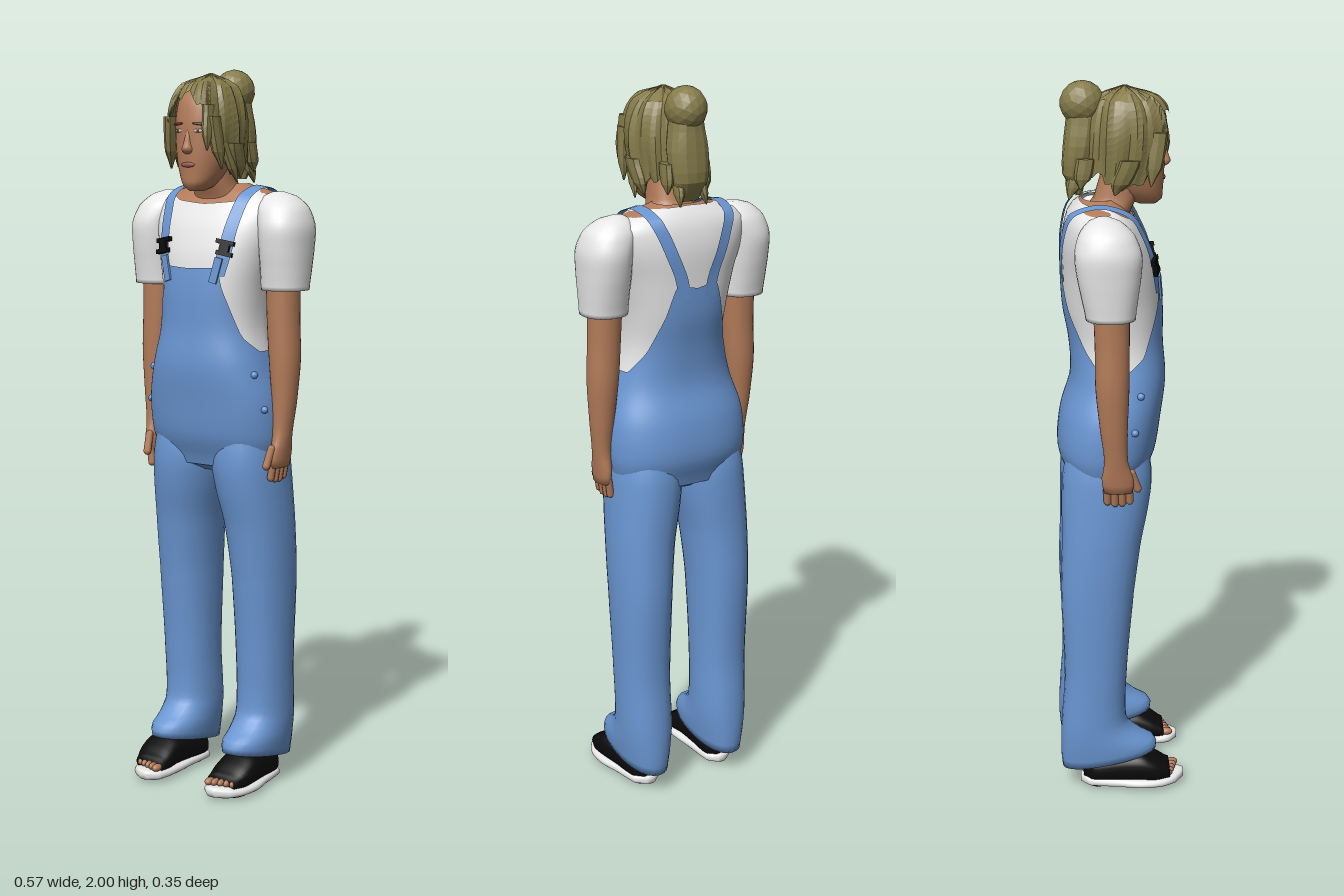
import * as THREE from 'three';
import { mergeVertices } from 'three/addons/utils/BufferGeometryUtils.js';

const mat = (name, color, extra = {}) => Object.assign(new THREE.MeshStandardMaterial({ color, ...extra }), { name });
const two = { side: THREE.DoubleSide };

// Cross-sections are [x, y, z, rx, rz] with rising y; at() blends them smoothly.
function at(S, y) {
  let i = 0;
  while (i < S.length - 2 && y > S[i + 1][1]) i++;
  const t = THREE.MathUtils.clamp((y - S[i][1]) / (S[i + 1][1] - S[i][1]), 0, 1);
  const p = [S[Math.max(i - 1, 0)], S[i], S[i + 1], S[Math.min(i + 2, S.length - 1)]];
  return [0, 2, 3, 4].map(k => {
    const [a, b, c, d] = p.map(q => q[k]);
    const v = b + 0.5 * t * (c - a + t * (2 * a - 5 * b + 4 * c - d + t * (3 * (b - c) + d - a)));
    return k > 2 ? Math.max(v, 0) : v;
  });
}
const pw = (v, n) => Math.sign(v) * Math.abs(v) ** (2 / n);
// Point on the skin of a sectioned body; angle a starts at the front and turns to +x.
function point(S, a, y, n = 2.4, off = 0) {
  const [x, z, rx, rz] = at(S, y);
  return [x + (rx + off) * pw(Math.sin(a), n), y, z + (rz + off) * pw(Math.cos(a), n)];
}
// Depth of the skin at a given x and y (side 1 = front, -1 = back).
function depth(S, x, y, side = 1, n = 2.4) {
  const [cx, z, rx, rz] = at(S, y);
  return z + side * rz * Math.max(0, 1 - Math.min(1, Math.abs((x - cx) / rx)) ** n) ** (1 / n);
}
// Grid surface from f(u, v)
function grid(f, nu, nv) {
  const pos = [], idx = [];
  for (let j = 0; j <= nv; j++) for (let i = 0; i <= nu; i++) pos.push(...f(i / nu, j / nv));
  for (let j = 0; j < nv; j++) for (let i = 0; i < nu; i++) {
    const a = j * (nu + 1) + i, b = a + nu + 1;
    idx.push(a, a + 1, b + 1, a, b + 1, b);
  }
  const raw = new THREE.BufferGeometry();
  raw.setAttribute('position', new THREE.Float32BufferAttribute(pos, 3));
  raw.setIndex(idx);
  const g = mergeVertices(raw, 1e-5);
  g.computeVertexNormals();
  return g;
}
// Piecewise line over the angle from the front in degrees, same on both sides
const edge = keys => a => {
  const d = THREE.MathUtils.radToDeg(a > Math.PI ? 2 * Math.PI - a : a);
  let i = 0;
  while (i < keys.length - 2 && d > keys[i + 1][0]) i++;
  const [p, q] = [keys[i], keys[i + 1]];
  return p[1] + (q[1] - p[1]) * Math.min(1, (d - p[0]) / (q[0] - p[0]));
};
const wrap = (S, lo, hi, { n = 2.4, off = 0, ripple = null, seg = 64, rows = 28 } = {}) => grid((u, v) => {
  const a = (u % 1) * Math.PI * 2, y = lo(a) + (hi(a) - lo(a)) * v;
  return point(S, a, y, n, off + (ripple ? ripple(a, y) : 0));
}, seg, rows);
// Closed loft
const loft = (S, { n = 2.4, seg = 28, rows = 24, tweak = null } = {}) => {
  const y0 = S[0][1], y1 = S[S.length - 1][1];
  return grid((u, v) => {
    const k = v * (rows + 2), y = y0 + (y1 - y0) * THREE.MathUtils.clamp((k - 1) / rows, 0, 1);
    const a = (u % 1) * Math.PI * 2;
    let p = point(S, a, y, n);
    if (k < 0.5 || k > rows + 1.5) { const c = at(S, y); p = [c[0], y, c[1]]; }
    return tweak ? tweak(p) : p;
  }, seg, rows + 2);
};

const BODY = [
  [0, 0.92, -0.035, 0.18, 0.10], [0, 1.0, -0.032, 0.198, 0.128], [0, 1.1, -0.02, 0.196, 0.132],
  [0, 1.2, 0, 0.168, 0.124], [0, 1.3, -0.005, 0.145, 0.122], [0, 1.4, -0.014, 0.15, 0.13],
  [0, 1.5, -0.022, 0.172, 0.127], [0, 1.58, -0.035, 0.195, 0.115], [0, 1.64, -0.045, 0.195, 0.093],
  [0, 1.67, -0.05, 0.15, 0.07], [0, 1.69, -0.05, 0.075, 0.05]];
const HEAD = [
  [0, 1.672, 0.08, 0.018, 0.025], [0, 1.685, 0.072, 0.038, 0.048], [0, 1.71, 0.058, 0.054, 0.064],
  [0, 1.75, 0.045, 0.068, 0.08], [0, 1.8, 0.037, 0.076, 0.089], [0, 1.87, 0.03, 0.079, 0.094],
  [0, 1.93, 0.025, 0.066, 0.08], [0, 1.97, 0.025, 0.01, 0.01]];
const HAIR = [
  [0, 1.69, 0.005, 0.078, 0.085], [0, 1.78, 0.022, 0.09, 0.108], [0, 1.86, 0.03, 0.096, 0.116],
  [0, 1.92, 0.03, 0.085, 0.106], [0, 1.96, 0.025, 0.06, 0.078], [0, 1.985, 0.02, 0, 0]];

export function createModel() {
  const M = {
    denim: mat('denim blue', 0x6a96d2, two), shirt: mat('shirt white', 0xf0f0f0, two),
    skin: mat('skin', 0xb27b59), hair: mat('hair olive blond', 0x857b4a, { ...two, flatShading: true }),
    black: mat('black', 0x0b0b0b), sole: mat('sole white', 0xe8e8e8),
    lips: mat('lips', 0x94584a), brow: mat('brow brown', 0x5f4530), eye: mat('eye', 0xcfc2b4)
  };
  const root = new THREE.Group();
  root.name = 'figure';
  const add = (name, geo, m, p = [0, 0, 0], r = [0, 0, 0], s = [1, 1, 1]) => {
    const mesh = new THREE.Mesh(geo, m);
    mesh.name = name;
    mesh.position.set(...p); mesh.rotation.set(...r); mesh.scale.set(...s);
    root.add(mesh);
    return mesh;
  };
  const ball = new THREE.SphereGeometry(1, 16, 12);
  const flip = (S, s) => S.map(([x, ...rest]) => [x * s, ...rest]);

  // Torso: skin at the neckline, shirt, then overalls with bib and back panel
  add('upperChest', wrap(BODY, () => 1.56, () => 1.69, { off: -0.005 }), M.skin);
  add('shirtBody', wrap(BODY, () => 1.1, edge([[0, 1.637], [25, 1.645], [60, 1.672], [90, 1.68], [180, 1.687]])), M.shirt);
  add('overallsBody', wrap(BODY, () => 0.92, edge([[0, 1.465], [26, 1.47], [32, 1.42], [45, 1.36], [62, 1.28],
    [85, 1.24], [110, 1.24], [130, 1.3], [150, 1.4], [164, 1.49], [180, 1.475]]), { off: 0.007, seg: 96 }), M.denim);
  add('crotch', loft([[0, 0.9, -0.035, 0.03, 0.07], [0, 0.925, -0.035, 0.187, 0.107], [0, 0.96, -0.035, 0.18, 0.1]]), M.denim);
  add('neck', loft([[0, 1.58, -0.04, 0.085, 0.06], [0, 1.65, -0.028, 0.072, 0.062], [0, 1.69, -0.005, 0.058, 0.058],
    [0, 1.78, 0.015, 0.054, 0.055]]), M.skin);

  // Head and face
  add('head', loft(HEAD, { n: 2.2, seg: 36 }), M.skin);
  add('nose', loft([[0, 1.77, 0.118, 0.01, 0.008], [0, 1.78, 0.122, 0.017, 0.02], [0, 1.8, 0.12, 0.011, 0.017],
    [0, 1.835, 0.118, 0.007, 0.008]], { n: 2, seg: 12, rows: 10 }), M.skin);
  add('mouth', ball, M.lips, [0, 1.742, depth(HEAD, 0, 1.742) - 0.001], [0, 0, 0], [0.023, 0.007, 0.005]);

  // Hair cap with a face opening, bun, tail and loose locks
  const ripple = (a, y) => 0.004 * Math.sin(9 * a + 14 * y) + 0.003 * Math.sin(17 * a);
  const fringe = edge([[0, 1.93], [20, 1.915], [36, 1.885], [46, 1.79], [56, 1.75], [75, 1.725], [100, 1.73], [140, 1.76], [180, 1.74]]);
  add('hairCap', wrap(HAIR, a => fringe(a) + 0.012 * Math.sin(13 * a), () => 1.985, { n: 2.1, ripple, seg: 48, rows: 14 }), M.hair);
  add('hairBun', new THREE.IcosahedronGeometry(1, 2), M.hair, [0, 1.938, -0.092], [0.4, 0, 0], [0.055, 0.06, 0.06]);
  add('hairTail', loft([[0, 1.70, -0.105, 0.03, 0.012], [0, 1.75, -0.112, 0.05, 0.034], [0, 1.83, -0.1, 0.057, 0.044],
    [0, 1.91, -0.09, 0.045, 0.045]], { seg: 14, rows: 8 }), M.hair);
  const lock = (x, y, z, tx, ty, tz, r) => add('hairLock', loft([[tx, ty, tz, 0.002, 0.002],
    [x * 0.4 + tx * 0.6, y * 0.35 + ty * 0.65, z * 0.4 + tz * 0.6, r * 0.5, r * 0.9], [x, y, z, r * 0.6, r]], { seg: 8, rows: 6 }), M.hair);
  for (const s of [-1, 1]) {
    lock(s * 0.07, 1.87, 0.105, s * 0.084, 1.73, 0.085, 0.025);
    lock(s * 0.087, 1.8, 0.03, s * 0.078, 1.705, -0.01, 0.03);
    lock(s * 0.03, 1.78, -0.1, s * 0.04, 1.69, -0.13, 0.022);
    lock(s * 0.055, 1.8, -0.085, s * 0.06, 1.72, -0.1, 0.025);
  }
  lock(0.062, 1.9, 0.112, 0.072, 1.78, 0.135, 0.022);
  lock(0.075, 1.8, 0.06, 0.088, 1.695, 0.02, 0.02);

  // Shoulder strap stations: [centre x, y, side]; side 0 is the top of the shoulder
  const strap = [[0.085, 1.44, 1], [0.1, 1.5, 1], [0.108, 1.56, 1], [0.115, 1.61, 1], [0.12, 1.64, 1], [0.122, 1.66, 1],
    [0.122, 1.68, 0], [0.115, 1.66, -1], [0.108, 1.64, -1], [0.095, 1.61, -1], [0.075, 1.56, -1], [0.05, 1.5, -1], [0.038, 1.44, -1]];
  const strapEdge = (s, dx) => new THREE.CatmullRomCurve3(strap.map(([x, y, side]) => side
    ? new THREE.Vector3(s * (x + dx), y + 0.006, depth(BODY, x + dx, y, side) + side * 0.008)
    : new THREE.Vector3(s * (x + dx), 1.687 - Math.max(0, dx) * 0.3, -0.05)));

  for (const s of [-1, 1]) {
    const side = s > 0 ? 'left' : 'right';
    const named = part => side + part;
    // Eyes and brows
    add(named('Eye'), ball, M.eye, [s * 0.032, 1.832, depth(HEAD, 0.032, 1.832, 1, 2.2)], [0, s * 0.25, 0], [0.013, 0.005, 0.003]);
    add(named('Pupil'), ball, M.brow, [s * 0.032, 1.832, depth(HEAD, 0.032, 1.832, 1, 2.2) + 0.002], [0, 0, 0], [0.005, 0.005, 0.002]);
    add(named('Brow'), ball, M.brow, [s * 0.034, 1.85, depth(HEAD, 0.034, 1.85, 1, 2.2)], [0, s * 0.3, -s * 0.08], [0.02, 0.0035, 0.004]);

    // Straps, buckles and hip buttons
    const inner = strapEdge(s, -0.018), outer = strapEdge(s, 0.018);
    add(named('Strap'), grid((u, v) => inner.getPoint(v).lerp(outer.getPoint(v), u).toArray(), 3, 48), M.denim);
    for (const [y, w, h] of [[1.537, 0.052, 0.012], [1.522, 0.026, 0.03], [1.507, 0.046, 0.012]])
      add(named('Buckle'), new THREE.BoxGeometry(w, h, 0.012), M.black,
        [s * 0.103, y, depth(BODY, 0.103, y) + 0.013], [-0.15, s * 0.25, -s * 0.15]);
    add(named('BibTab'), new THREE.BoxGeometry(0.022, 0.07, 0.006), M.denim, [s * 0.083, 1.462, depth(BODY, 0.083, 1.462) + 0.012], [-0.05, s * 0.2, -s * 0.25]);
    for (const y of [1.18, 1.085]) {
      const p = point(BODY, s * 1.2, y, 2.4, 0.008);
      add(named('HipButton'), ball, M.denim, p, [0, 0, 0], [0.01, 0.01, 0.01]);
    }

    // Sleeve, arm and hand
    add(named('Sleeve'), loft(flip([[0.215, 1.408, -0.028, 0.063, 0.066], [0.216, 1.46, -0.03, 0.065, 0.074],
      [0.216, 1.52, -0.032, 0.068, 0.084], [0.214, 1.58, -0.034, 0.07, 0.088], [0.2, 1.63, -0.038, 0.066, 0.072],
      [0.188, 1.658, -0.042, 0.046, 0.045], [0.18, 1.67, -0.045, 0.015, 0.015]], s), { n: 2.2 }), M.shirt);
    add(named('Arm'), loft(flip([[0.215, 0.925, -0.008, 0.016, 0.038], [0.216, 0.96, -0.01, 0.02, 0.044],
      [0.218, 1.01, -0.014, 0.024, 0.032], [0.22, 1.1, -0.02, 0.032, 0.037], [0.218, 1.22, -0.024, 0.042, 0.045],
      [0.213, 1.32, -0.024, 0.044, 0.046], [0.21, 1.45, -0.026, 0.046, 0.048]], s), { n: 2.1 }), M.skin);
    for (let i = 0; i < 4; i++)
      add(named('Finger'), new THREE.CapsuleGeometry(0.0105, 0.045, 4, 8), M.skin,
        [s * 0.209, 0.911 + Math.abs(i - 1.6) * 0.005, 0.022 - i * 0.02], [-0.05, 0, -s * 0.15]);
    add(named('Thumb'), new THREE.CapsuleGeometry(0.011, 0.05, 4, 8), M.skin, [s * 0.208, 0.955, 0.036], [-0.35, 0, -s * 0.1]);

    // Trouser leg with a slanted, flared hem
    add(named('TrouserLeg'), loft(flip([[0.125, 0.085, -0.03, 0.066, 0.134], [0.125, 0.12, -0.033, 0.071, 0.135],
      [0.125, 0.155, -0.055, 0.073, 0.113], [0.125, 0.2, -0.073, 0.074, 0.093], [0.127, 0.35, -0.068, 0.075, 0.088],
      [0.127, 0.6, -0.062, 0.082, 0.102], [0.12, 0.75, -0.05, 0.089, 0.11], [0.105, 0.88, -0.037, 0.098, 0.122],
      [0.1, 0.95, -0.033, 0.097, 0.122], [0.1, 1.02, -0.03, 0.085, 0.11]], s), { n: 2.2, rows: 44,
      tweak: ([x, y, z]) => [x, y + Math.max(0, 0.25 - y) * (z + 0.04) * 1.2, z] }), M.denim);
    add(named('Ankle'), loft(flip([[0.125, 0.05, -0.03, 0.036, 0.05], [0.125, 0.2, -0.05, 0.032, 0.04]], s)), M.skin);

    // Open-toed shoe, lofted heel to toe and then laid down
    const lay = S => loft(flip(S, s), { n: 2.6 }).rotateX(Math.PI / 2);
    add(named('ShoeSole'), lay([[0.122, -0.112, -0.019, 0.015, 0.012], [0.124, -0.09, -0.019, 0.042, 0.016],
      [0.13, 0, -0.019, 0.052, 0.016], [0.134, 0.06, -0.019, 0.06, 0.016], [0.131, 0.12, -0.02, 0.058, 0.016],
      [0.124, 0.16, -0.022, 0.044, 0.016], [0.12, 0.183, -0.025, 0.016, 0.012]]), M.sole);
    add(named('ShoeUpper'), lay([[0.124, -0.104, -0.045, 0.022, 0.018], [0.125, -0.08, -0.05, 0.044, 0.034],
      [0.13, 0, -0.062, 0.053, 0.042], [0.134, 0.06, -0.066, 0.059, 0.044], [0.132, 0.105, -0.055, 0.058, 0.034],
      [0.127, 0.142, -0.045, 0.048, 0.02]]), M.black);
    for (let i = 0; i < 5; i++)
      add(named('Toe'), ball, M.skin, [s * (0.093 + i * 0.017), 0.044, 0.152 - i * 0.005], [0, 0, 0],
        [i ? 0.009 : 0.012, 0.011, 0.018]);
    for (const [x, z, w, l] of [[0.133, 0.09, 0.036, 0.045], [0.126, -0.06, 0.028, 0.034], [0.13, 0.012, 0.03, 0.02]])
      add(named('SoleTread'), new THREE.CylinderGeometry(1, 1, 0.006, 20), M.black, [s * x, 0.003, z], [0, 0, 0], [w, 1, l]);
  }
  return root;
}
